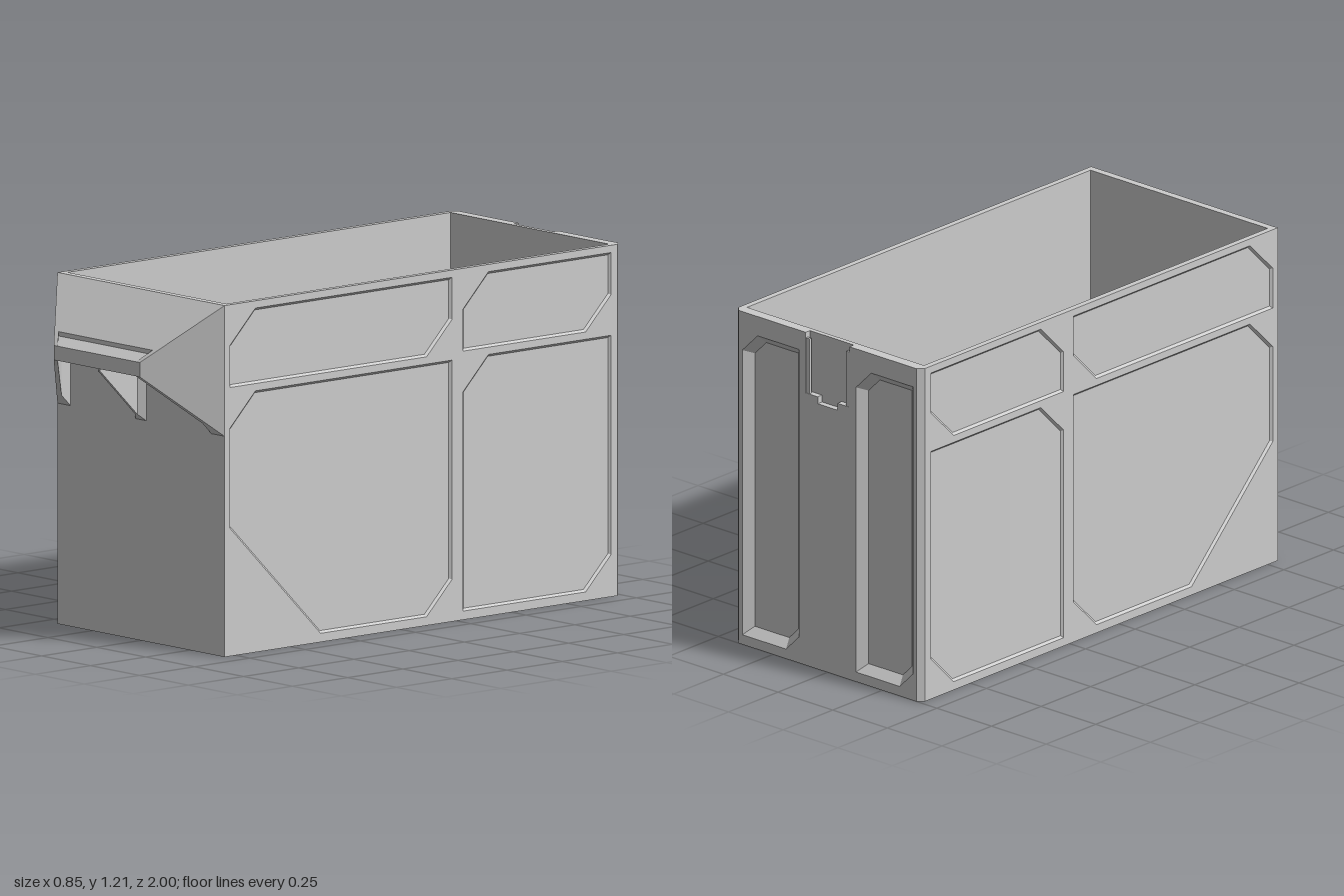
import * as THREE from 'three';

const W = 0.427, H = 1.21, FRONT = 0.8, BACK = -1, CH = 0.02; // body limits and back corner chamfer
const NOTCH = 0.1, NOTCH_DEPTH = 0.022;
const solid = new THREE.MeshStandardMaterial({ color: 0xcccccc, flatShading: true });
const skin = new THREE.MeshStandardMaterial({ color: 0xcccccc, flatShading: true, side: THREE.DoubleSide });

const shapeOf = pts => new THREE.Shape(pts.map(p => new THREE.Vector2(p[0], p[1])));

function add(group, name, geometry, material = skin) {
  const mesh = new THREE.Mesh(geometry, material);
  mesh.name = name;
  group.add(mesh);
  return mesh;
}

// Strip of quads between two matching rows of 3D points
function loft(a, b, closed = true) {
  const pos = [];
  for (let i = 0; i < a.length - (closed ? 0 : 1); i++) {
    const j = (i + 1) % a.length;
    pos.push(...a[i], ...a[j], ...b[j], ...a[i], ...b[j], ...b[i]);
  }
  const g = new THREE.BufferGeometry();
  g.setAttribute('position', new THREE.Float32BufferAttribute(pos, 3));
  g.computeVertexNormals();
  return g;
}

// Rectangle with cut corners, counter-clockwise
function cutRect(x0, x1, y0, y1, topLeft, bottomRight, bottomLeft = 0) {
  const start = bottomLeft ? [[x0, y0 + bottomLeft], [x0 + bottomLeft, y0]] : [[x0, y0]];
  return [...start, [x1 - bottomRight, y0], [x1, y0 + bottomRight], [x1, y1], [x0 + topLeft, y1], [x0, y1 - topLeft]];
}

// Move every edge of a counter-clockwise outline inwards
function inset(pts, d) {
  const normal = (a, b) => {
    const l = Math.hypot(b[0] - a[0], b[1] - a[1]);
    return [(a[1] - b[1]) / l, (b[0] - a[0]) / l];
  };
  return pts.map((p, i) => {
    const n = normal(pts[(i + pts.length - 1) % pts.length], p);
    const m = normal(p, pts[(i + 1) % pts.length]);
    const k = d / (1 + n[0] * m[0] + n[1] * m[1]);
    return [p[0] + (n[0] + m[0]) * k, p[1] + (n[1] + m[1]) * k];
  });
}

// Flat wall face with bevelled recesses sunk into it
function recessedFace(name, outline, recesses, bevel, depth) {
  const group = new THREE.Group();
  group.name = name;
  const face = shapeOf(outline);
  for (const r of recesses) {
    face.holes.push(shapeOf(r));
    const inner = inset(r, bevel);
    add(group, 'recessBevel', loft(r.map(p => [...p, 0]), inner.map(p => [...p, -depth])));
    add(group, 'recessFloor', new THREE.ShapeGeometry(shapeOf(inner)).translate(0, 0, -depth));
  }
  add(group, 'wallFace', new THREE.ShapeGeometry(face));
  return group;
}

// Flat plan of (x, z) points laid at height y
function planFace(pts, y, hole) {
  const s = shapeOf(pts.map(([x, z]) => [x, -z]));
  if (hole) s.holes.push(shapeOf(hole.map(([x, z]) => [x, -z])));
  return new THREE.ShapeGeometry(s).rotateX(-Math.PI / 2).translate(0, y, 0);
}

// Plan of (x, z) points raised between two sloping planes y(z)
function prism(pts, bottom, top) {
  const g = new THREE.ExtrudeGeometry(shapeOf(pts.map(([x, z]) => [x, -z])), { depth: 1, bevelEnabled: false });
  g.rotateX(-Math.PI / 2);
  const p = g.attributes.position;
  for (let i = 0; i < p.count; i++) {
    const z = p.getZ(i);
    p.setY(i, p.getY(i) > 0.5 ? top(z) : bottom(z));
  }
  g.computeVertexNormals();
  return g;
}

const mirrored = pts => [...pts, ...pts.map(([x, z]) => [-x, z]).reverse()];

function createBody() {
  const body = new THREE.Group();
  body.name = 'body';

  // Side walls, each with four recessed panels
  const panels = [
    cutRect(-0.775, 0.23, 0.925, 1.185, 0.115, 0.115),
    cutRect(0.28, 0.95, 0.925, 1.185, 0.115, 0.115),
    cutRect(-0.775, 0.23, 0.03, 0.9, 0.115, 0.115, 0.41),
    cutRect(0.28, 0.95, 0.03, 0.9, 0.115, 0.115),
  ];
  const side = [[-FRONT, 0], [-BACK - CH, 0], [-BACK - CH, H], [-FRONT, H]];
  for (const s of [1, -1]) {
    const flip = pts => (s > 0 ? pts : pts.map(([u, y]) => [-u, y]).reverse());
    const wall = recessedFace(s > 0 ? 'leftWall' : 'rightWall', flip(side), panels.map(flip), 0.008, 0.008);
    wall.rotation.y = s * Math.PI / 2;
    wall.position.x = s * W;
    body.add(wall);
  }

  // Back wall with two deep channels and a latch notch open at the top
  const bx = W - CH;
  const notch = [[NOTCH, H], [NOTCH, 0.99], [0.045, 0.99], [0.045, 0.965],
    [-0.045, 0.965], [-0.045, 0.99], [-NOTCH, 0.99], [-NOTCH, H]];
  const channels = [-0.39, 0.13].map(u => cutRect(u, u + 0.26, 0.035, 1.14, 0.07, 0.06));
  const back = recessedFace('backWall', [[-bx, 0], [bx, 0], [bx, H], ...notch, [-bx, H]], channels, 0.03, 0.03);
  add(back, 'notchWalls', loft(notch.map(p => [...p, 0]), notch.map(p => [...p, -NOTCH_DEPTH]), false));
  add(back, 'notchFloor', new THREE.ShapeGeometry(shapeOf(notch)).translate(0, 0, -NOTCH_DEPTH));
  for (const s of [1, -1]) {
    add(back, 'latchRail', new THREE.BoxGeometry(0.016, 0.2, 0.01).translate(s * 0.092, 1.09, -0.006), solid);
  }
  back.rotation.y = Math.PI;
  back.position.z = BACK;
  body.add(back);

  // Chamfered back corners and plain front wall
  const upright = (x0, z0, x1, z1) => loft([[x0, 0, z0], [x1, 0, z1]], [[x0, H, z0], [x1, H, z1]], false);
  add(body, 'leftBackChamfer', upright(W, BACK + CH, bx, BACK));
  add(body, 'rightBackChamfer', upright(-bx, BACK, -W, BACK + CH));
  add(body, 'frontWall', upright(-W, FRONT, W, FRONT));

  // Underside, rim and inner cavity
  const corner = [[-W, BACK + CH], [-W, FRONT], [W, FRONT], [W, BACK + CH], [bx, BACK]];
  add(body, 'underside', planFace([...corner, [-bx, BACK]].reverse(), 0).scale(1, 1, 1));
  const cavity = [[-0.405, -0.96], [-0.405, 0.773], [0.405, 0.773], [0.405, -0.96]];
  const rim = [...corner, [NOTCH, BACK], [NOTCH, BACK + NOTCH_DEPTH],
    [-NOTCH, BACK + NOTCH_DEPTH], [-NOTCH, BACK], [-bx, BACK]];
  add(body, 'rim', planFace(rim, H, cavity));
  add(body, 'cavityFloor', planFace(cavity, 0.03));
  add(body, 'cavityWalls', loft(cavity.map(([x, z]) => [x, H, z]), cavity.map(([x, z]) => [x, 0.03, z])));
  return body;
}

// Hollow sloping hood on the front, open underneath as a hand grip
function createHandle() {
  const handle = new THREE.Group();
  handle.name = 'frontHandle';
  const under = z => z - 0.04, slope = z => 2.01 - z, ceiling = z => 1.98 - z;
  for (const s of [1, -1]) {
    const cheek = [[W, 0.8], [0.22, 1], [0.2, 1], [0.36, 0.84], [0.36, 0.8]].map(([x, z]) => [s * x, z]);
    add(handle, s > 0 ? 'leftCheek' : 'rightCheek', prism(cheek, under, slope), solid);
  }
  add(handle, 'slopingTop', prism(mirrored([[0.36, 0.8], [0.36, 0.84], [0.24, 0.96]]), ceiling, slope), solid);
  add(handle, 'steppedEdge',
    prism(mirrored([[0.24, 0.96], [0.2, 1]]), ceiling, z => 1.035 - (z - 0.96) * 0.625), solid);
  add(handle, 'frontLip', prism(mirrored([[0.215, 0.985], [0.2, 1]]), () => 0.96, () => 1.01), solid);
  add(handle, 'centreRib',
    prism(mirrored([[0.028, 0.8], [0.006, 0.822], [0.006, 0.99]]), under, z => ceiling(z) + 0.01), solid);
  return handle;
}

export function createModel() {
  const model = new THREE.Group();
  model.name = 'storageBin';
  model.add(createBody(), createHandle());
  return model;
}
